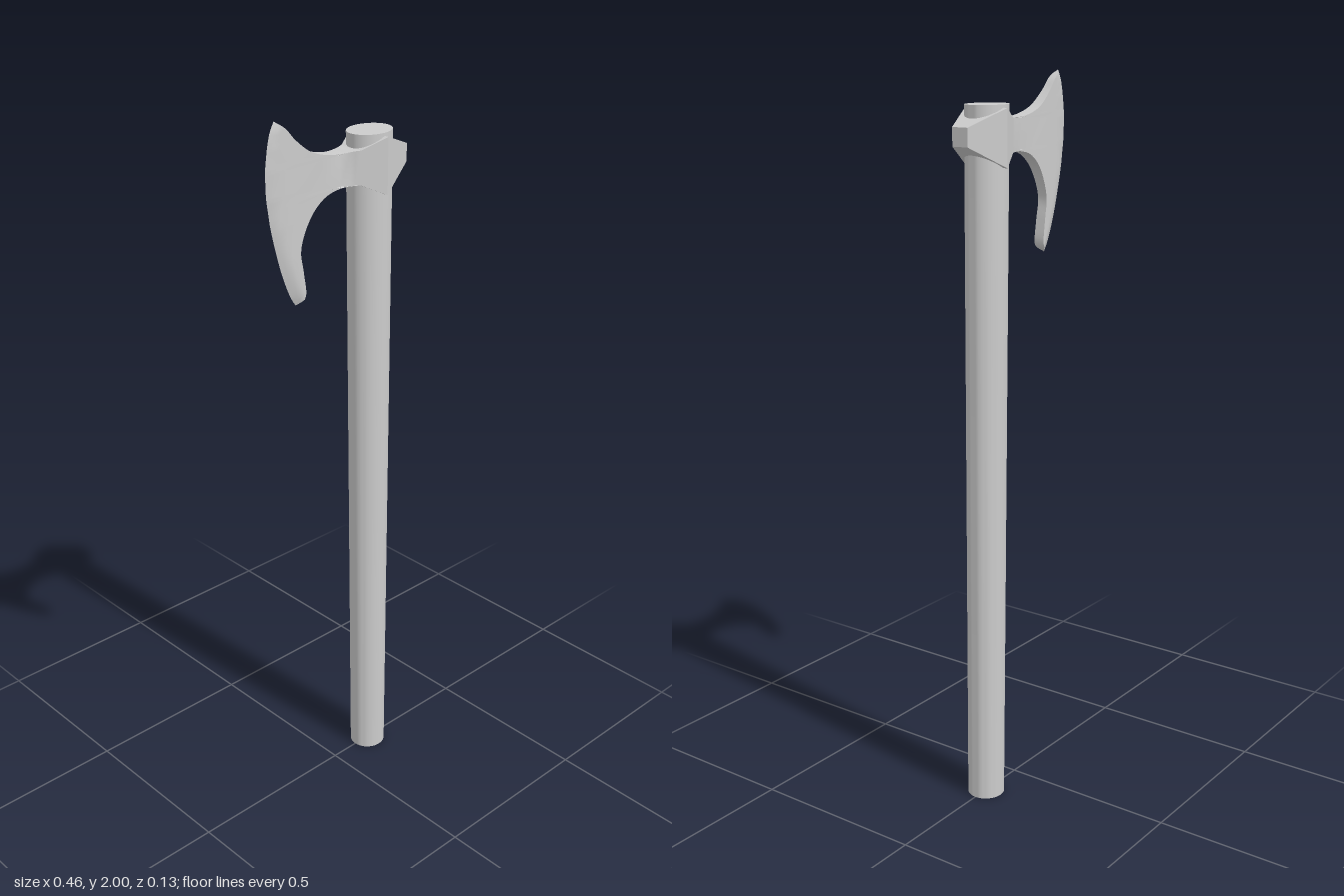
import * as THREE from 'three';
import { toCreasedNormals } from 'three/addons/utils/BufferGeometryUtils.js';

const grey = new THREE.MeshStandardMaterial({ color: 0xcccccc });

// Half thickness of the head along x: thin at the blade, widest at the eye
const PROFILE = [[-0.23, 0.006], [-0.2, 0.009], [-0.1, 0.016], [0, 0.02], [0.04, 0.029], [0.12, 0.066], [0.23, 0.024]];
function halfThickness(x) {
  for (let i = 1; i < PROFILE.length; i++) {
    const [x0, t0] = PROFILE[i - 1], [x1, t1] = PROFILE[i];
    if (x <= x1) return THREE.MathUtils.lerp(t0, t1, Math.max(0, (x - x0) / (x1 - x0)));
  }
  return PROFILE.at(-1)[1];
}

// Collects quads (corners counter-clockwise from outside) into one mesh
function quadMesh(name, build) {
  const pos = [];
  build((a, b, c, d) => { for (const p of [a, b, c, a, c, d]) pos.push(...p); });
  const g = new THREE.BufferGeometry();
  g.setAttribute('position', new THREE.Float32BufferAttribute(pos, 3));
  const mesh = new THREE.Mesh(toCreasedNormals(g, 0.5), grey);
  mesh.name = name;
  return mesh;
}

const smooth = (pts, n) => new THREE.SplineCurve(pts.map(p => new THREE.Vector2(...p))).getPoints(n);

function createBlade() {
  // Matching points on the inner outline and the cutting edge, from the top down
  const topInner = [[-0.2, 2], [-0.17, 1.978], [-0.14, 1.945], [-0.09, 1.908], [-0.02, 1.889], [0.055, 1.889]];
  const topEdge = [[-0.2, 2], [-0.213, 1.975], [-0.221, 1.945], [-0.226, 1.915], [-0.229, 1.892], [-0.23, 1.87]];
  const lowInner = [[0.055, 1.8], [0, 1.8], [-0.055, 1.785], [-0.1, 1.742], [-0.129, 1.672], [-0.122, 1.61], [-0.115, 1.545], [-0.138, 1.52]];
  const lowEdge = [[-0.229, 1.825], [-0.227, 1.805], [-0.223, 1.78], [-0.217, 1.742], [-0.202, 1.68], [-0.182, 1.612], [-0.157, 1.55], [-0.138, 1.52]];
  const inner = [...smooth(topInner, 20), ...smooth(lowInner, 28)];
  const edge = [...smooth(topEdge, 20), ...smooth(lowEdge, 28)];
  const columns = [0, 0.05, 0.1, 0.2, 0.4, 0.6, 0.8, 0.93, 1];

  const rows = inner.map((p, i) => columns.map(u => {
    const q = p.clone().lerp(edge[i], u);
    // bevel down to a sharp cutting edge
    return [q.x, q.y, Math.min(halfThickness(q.x), q.distanceTo(edge[i]) * 0.45)];
  }));
  const back = p => [p[0], p[1], -p[2]];
  return quadMesh('blade', quad => {
    for (let i = 0; i < rows.length - 1; i++) {
      const r = rows[i], s = rows[i + 1];
      for (let j = 0; j < columns.length - 1; j++) {
        quad(r[j], r[j + 1], s[j + 1], s[j]);
        quad(back(s[j]), back(s[j + 1]), back(r[j + 1]), back(r[j]));
      }
      // rim along the inner outline, left open where the eye joins
      if (i !== 20) quad(r[0], s[0], back(s[0]), back(r[0]));
    }
  });
}

// Eye around the handle, tapering to the square poll
function createEye() {
  const rings = [[0.055, 1.8, 1.889], [0.12, 1.768, 1.917], [0.23, 1.825, 1.873]].map(([x, low, high]) => {
    const t = halfThickness(x);
    return [[x, high, t], [x, high, -t], [x, low, -t], [x, low, t]];
  });
  return quadMesh('eyeAndPoll', quad => {
    for (let i = 0; i < 2; i++) {
      for (let k = 0; k < 4; k++) {
        const n = (k + 1) % 4;
        quad(rings[i][k], rings[i + 1][k], rings[i + 1][n], rings[i][n]);
      }
    }
    quad(...[...rings[2]].reverse());
  });
}

// Oval handle, leaning slightly and narrowing toward the foot
function createHandle() {
  const height = 1.925;
  const g = new THREE.CylinderGeometry(1, 1, height, 40);
  g.translate(0, height / 2, 0);
  const p = g.attributes.position;
  const { lerp } = THREE.MathUtils;
  for (let i = 0; i < p.count; i++) {
    const k = p.getY(i) / height;
    p.setX(i, lerp(0.138, 0.118, k) + p.getX(i) * lerp(0.052, 0.065, k));
    p.setZ(i, p.getZ(i) * lerp(0.051, 0.053, k));
  }
  g.computeVertexNormals();
  const mesh = new THREE.Mesh(toCreasedNormals(g, 0.6), grey);
  mesh.name = 'handle';
  return mesh;
}

export function createModel() {
  const axe = new THREE.Group();
  axe.name = 'axe';
  const head = new THREE.Group();
  head.name = 'head';
  head.add(createBlade(), createEye());
  axe.add(createHandle(), head);
  return axe;
}
